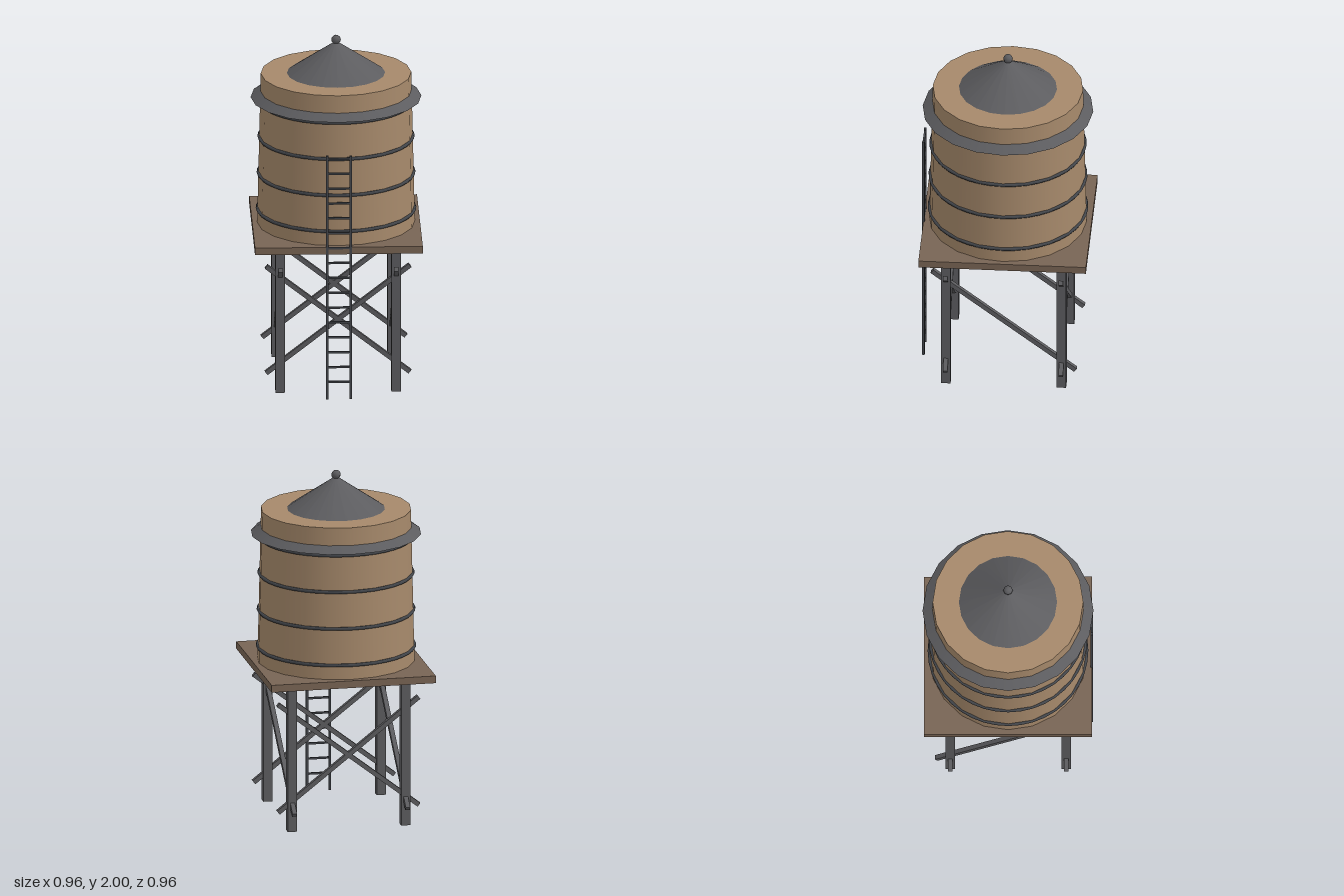
import * as THREE from 'three';

export function createModel() {
  const model = new THREE.Group();
  model.name = 'waterTower';

  const material = (name, color) => {
    const m = new THREE.MeshStandardMaterial({ color });
    m.name = name;
    return m;
  };
  const wood = material('tankWood', 0xa6896b);
  const darkWood = material('platformWood', 0x786454);
  const steel = material('steel', 0x5c5c5f);
  const darkSteel = material('darkSteel', 0x43464b);

  const add = (name, geometry, mat, x = 0, y = 0, z = 0, parent = model) => {
    const mesh = new THREE.Mesh(geometry, mat);
    mesh.name = name;
    mesh.position.set(x, y, z);
    parent.add(mesh);
    return mesh;
  };
  const box = (w, h, d) => new THREE.BoxGeometry(w, h, d);

  // Platform
  const platformY = 0.855, tankY = 0.897, tankTop = 1.777;
  add('platform', box(0.945, tankY - platformY, 0.945), darkWood, 0, (platformY + tankY) / 2);

  // Tapered tank
  const bottomR = 0.444, topR = 0.424, tankH = tankTop - tankY;
  add('tank', new THREE.CylinderGeometry(topR, bottomR, tankH, 20), wood, 0, tankY + tankH / 2);

  // Hoops follow the taper
  for (const y of [0.98, 1.192, 1.405, 1.618]) {
    const r = THREE.MathUtils.lerp(bottomR, topR, (y - tankY) / tankH);
    add('hoop', new THREE.TorusGeometry(r, 0.01, 6, 40), darkSteel, 0, y).rotation.x = Math.PI / 2;
  }

  // Conical roof, with the tank rim passing through it, and finial
  const eaveY = 1.637, apexY = 1.966;
  add('roof', new THREE.ConeGeometry(0.481, apexY - eaveY, 20), steel, 0, (eaveY + apexY) / 2);
  add('finial', new THREE.SphereGeometry(0.027, 8, 6), steel, 0, 1.973);

  // Legs
  const legAt = 0.326;
  for (const x of [-legAt, legAt]) {
    for (const z of [-legAt, legAt]) {
      add('leg', box(0.053, platformY, 0.053), steel, x, platformY / 2, z);
    }
  }

  // Braces: crossed on front and back, single on each side
  const braceY = 0.426, slope = 0.661, length = 1.025, thick = 0.026;
  for (const side of [-1, 1]) {
    for (const tilt of [-1, 1]) {
      add('crossBrace', box(length, thick, thick), steel, 0, braceY, side * legAt)
        .rotation.z = tilt * slope;
    }
    add('sideBrace', box(thick, thick, length), steel, side * legAt, braceY, 0)
      .rotation.x = -slope;
  }

  // Ladder
  const ladder = new THREE.Group();
  ladder.name = 'ladder';
  ladder.position.z = 0.472;
  model.add(ladder);
  for (const x of [-0.066, 0.066]) {
    add('ladderRail', box(0.014, 1.437, 0.014), darkSteel, x, 1.437 / 2, 0, ladder);
  }
  for (let i = 0; i < 16; i++) {
    add('ladderRung', box(0.13, 0.011, 0.011), darkSteel, 0, 0.1 + i * 0.088, 0, ladder);
  }

  return model;
}
